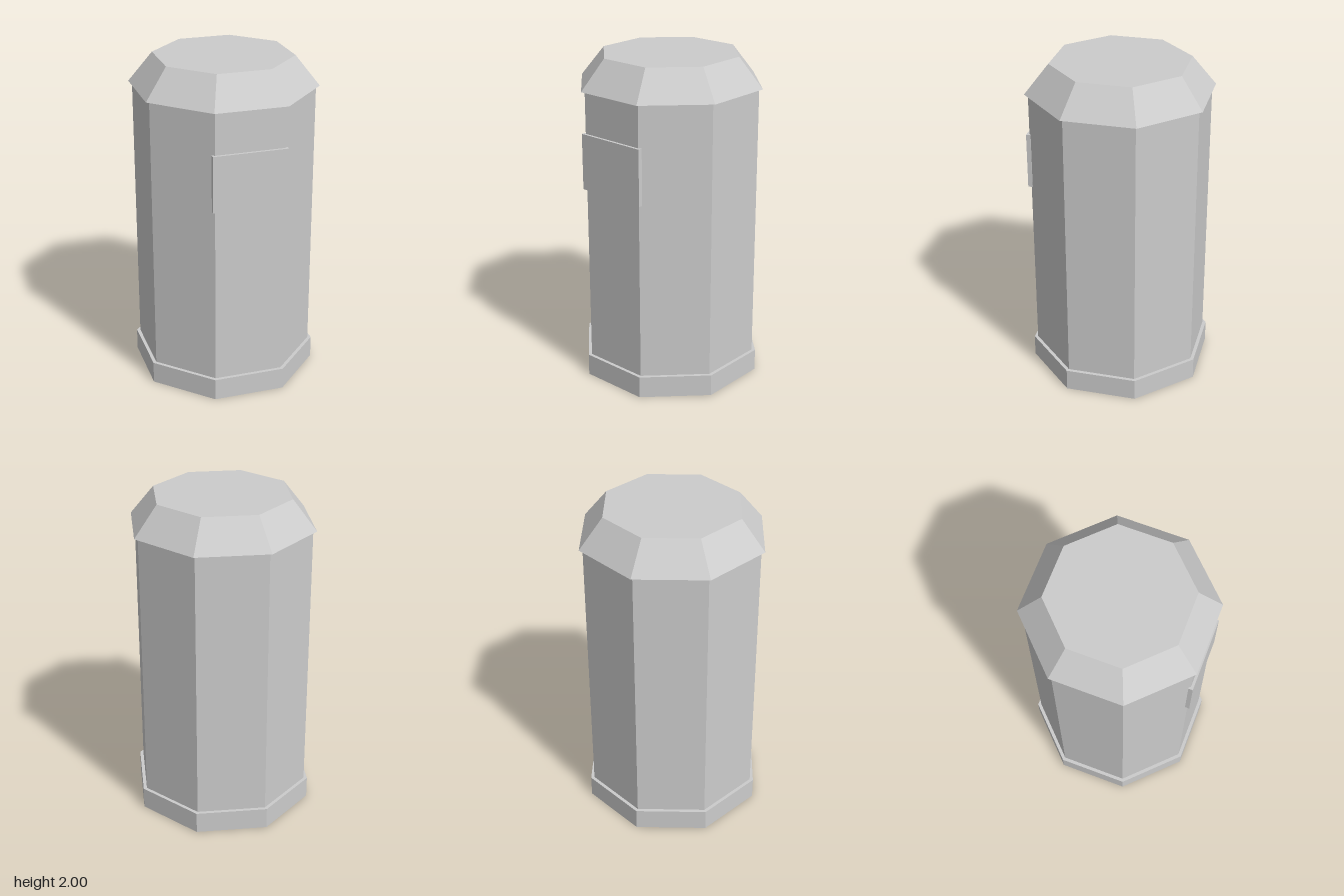
import * as THREE from 'three';

export function createModel() {
  const group = new THREE.Group();
  const grey = new THREE.MeshStandardMaterial({ color: 0xcccccc, flatShading: true });
  grey.name = 'lightGrey';

  const add = (name, geometry, y, z = 0) => {
    const mesh = new THREE.Mesh(geometry, grey);
    mesh.name = name;
    mesh.position.set(0, y, z);
    group.add(mesh);
  };

  // Octagonal section with flat sides facing the axes; sizes are centre-to-flat
  const octagon = (name, top, bottom, y0, y1, open = false) => {
    const k = 1 / Math.cos(Math.PI / 8);
    const geometry = new THREE.CylinderGeometry(top * k, bottom * k, y1 - y0, 8, 1, open, Math.PI / 8);
    add(name, geometry, (y0 + y1) / 2);
  };

  octagon('base', 0.5215, 0.5215, 0, 0.135);
  octagon('body', 0.501, 0.501, 0.135, 1.82, true);
  octagon('lid', 0.387, 0.5215, 1.82, 2);

  // Raised plate across the front
  add('frontPlate', new THREE.BoxGeometry(0.448, 0.34, 0.026), 1.4, 0.504);

  return group;
}
